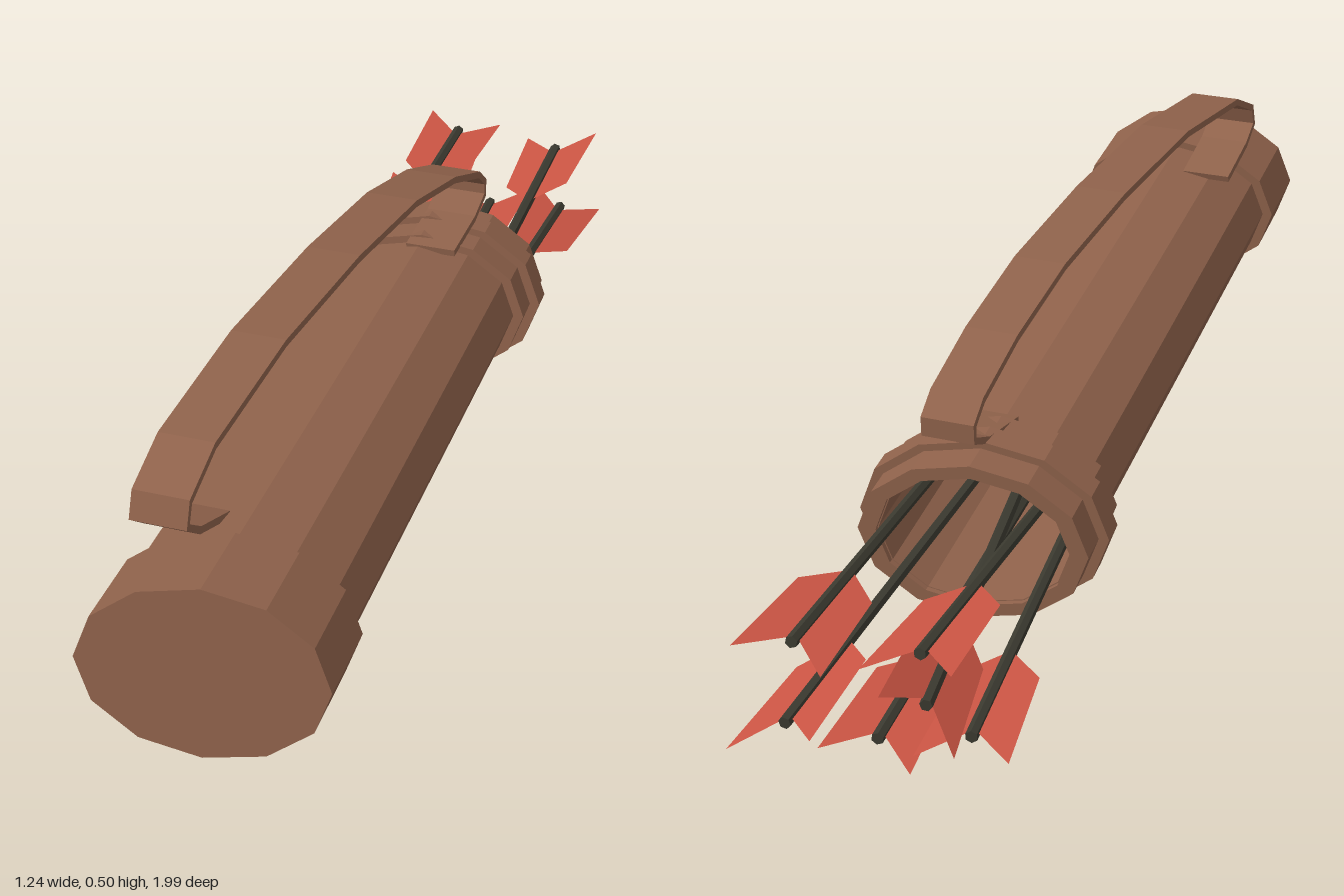
import * as THREE from 'three';

const leather = new THREE.MeshStandardMaterial({ color: 0x8f624b, flatShading: true });
leather.name = 'brown leather';
const wood = new THREE.MeshStandardMaterial({ color: 0x3b3a30, flatShading: true });
wood.name = 'dark wood';
const feather = new THREE.MeshStandardMaterial({ color: 0xcc5544, side: THREE.DoubleSide });
feather.name = 'red feather';

const v2 = ([x, y]) => new THREE.Vector2(x, y);

function mesh(name, geometry, material) {
  const m = new THREE.Mesh(geometry, material);
  m.name = name;
  return m;
}

// Twelve-sided flattened tube part; profile is [radius, z], z runs from mouth to base
function ovalLathe(name, profile) {
  const g = new THREE.LatheGeometry(profile.map(v2), 12);
  g.rotateX(Math.PI / 2);
  g.scale(1, 0.72, 1);
  return mesh(name, g, leather);
}

const ring = (name, inner, outer, z0, z1) =>
  ovalLathe(name, [[inner, z1], [inner, z0], [outer, z0], [outer, z1], [inner, z1]]);

// Hollow case with its base cap, mouth sleeve and raised band
function makeCase() {
  const g = new THREE.Group();
  g.name = 'quiverCase';
  g.add(
    ovalLathe('caseBody', [[0, 0.7], [0.158, 0.7], [0.158, -0.735], [0.172, -0.735], [0.172, 0.72]]),
    ovalLathe('baseCap', [[0.165, 0.575], [0.19, 0.575], [0.19, 0.745], [0, 0.745]]),
    ring('mouthSleeve', 0.16, 0.19, -0.745, -0.575),
    ring('mouthBand', 0.18, 0.207, -0.685, -0.635),
  );
  g.rotation.set(-0.06, 0.449, 0, 'YXZ');
  g.position.set(0.123, 0.19, 0.241);
  return g;
}

// Carrying strap: a thin ribbon outline along a side-on path of [z, y], extruded to its width
function makeStrap() {
  const path = [
    [-0.27, 0.272], [-0.38, 0.288], [-0.435, 0.312], [-0.437, 0.345], [-0.4, 0.377],
    [-0.27, 0.427], [-0.08, 0.472], [0.18, 0.498], [0.48, 0.505], [0.74, 0.477],
    [0.83, 0.435], [0.843, 0.392], [0.8, 0.36], [0.7, 0.325],
  ].map(([z, y]) => new THREE.Vector2(z / 0.94, y));
  const inner = path.map((p, i) => {
    const a = path[Math.max(i - 1, 0)], b = path[Math.min(i + 1, path.length - 1)];
    const t = b.clone().sub(a).normalize();
    return new THREE.Vector2(p.x + t.y * 0.012, p.y - t.x * 0.012);
  });
  const shape = new THREE.Shape([...path, ...inner.reverse()]);
  const g = new THREE.ExtrudeGeometry(shape, { depth: 0.09, bevelEnabled: false });
  g.translate(0, 0, -0.045);
  const strap = mesh('carryingStrap', g, leather);
  strap.rotation.y = -1.224;
  return strap;
}

// Arrow with its tail end at the group origin, pointing back into the case along -z
function makeArrow(mouth, tail, roll) {
  const g = new THREE.Group();
  g.name = 'arrow';
  const from = new THREE.Vector3(...mouth), to = new THREE.Vector3(...tail);
  const length = from.distanceTo(to) + 0.45;
  const shaft = new THREE.CylinderGeometry(0.01, 0.01, length, 6);
  shaft.rotateX(Math.PI / 2);
  shaft.translate(0, 0, -length / 2);
  const vanes = new THREE.ShapeGeometry(new THREE.Shape([
    [0, -0.24], [0.06, -0.17], [0.07, 0.06], [0, -0.02], [-0.07, 0.06], [-0.06, -0.17],
  ].map(v2)));
  vanes.rotateX(Math.PI / 2);
  g.add(mesh('shaft', shaft, wood), mesh('fletching', vanes, feather));
  g.position.copy(to);
  g.lookAt(to.clone().multiplyScalar(2).sub(from));
  g.rotateZ(roll);
  return g;
}

export function createModel() {
  const model = new THREE.Group();
  model.name = 'quiver';
  model.add(makeCase(), makeStrap());
  // Each arrow: point at the mouth, tail end, roll of its feathers
  const arrows = [
    [[-0.1, 0.19, -0.48], [-0.29, 0.2, -0.9], -0.2],
    [[-0.105, 0.09, -0.48], [-0.285, 0.07, -0.915], 0.3],
    [[-0.24, 0.15, -0.42], [-0.48, 0.135, -0.82], -0.7],
    [[-0.31, 0.1, -0.38], [-0.53, 0.085, -0.78], 0.05],
    [[-0.29, 0.2, -0.4], [-0.47, 0.215, -0.82], 0.1],
    [[-0.21, 0.08, -0.44], [-0.41, 0.065, -0.85], -0.15],
  ];
  for (const a of arrows) model.add(makeArrow(...a));
  return model;
}
